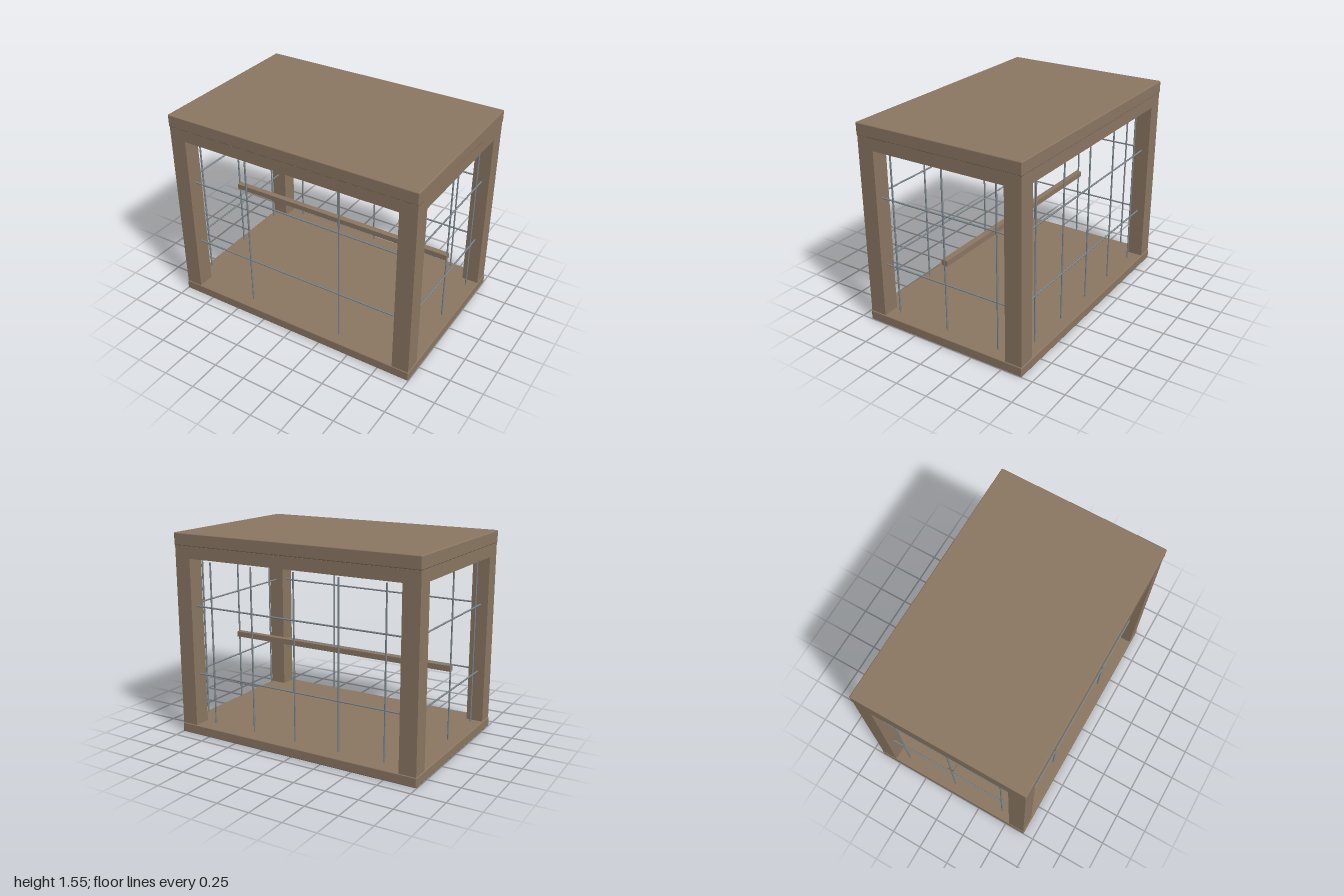
import * as THREE from 'three';
import { RoundedBoxGeometry } from 'three/addons/geometries/RoundedBoxGeometry.js';

const wood = new THREE.MeshStandardMaterial({ color: 0x8b7762 });
const steel = new THREE.MeshStandardMaterial({ color: 0x7b868c });

const HX = 0.995, HZ = 0.66;         // outer half sizes of the frame
const POST = 0.13;                   // post and beam thickness
const FLOOR = 0.075, BEAM = 1.37, ROOF = 1.46, TOP = 1.555;
const BX = 0.935, BZ = 0.597;        // planes of the bars, midway through the posts

export function createModel() {
  const model = new THREE.Group();
  model.name = 'cage';

  const add = (name, geometry, material, x, y, z) => {
    const mesh = new THREE.Mesh(geometry, material);
    mesh.name = name;
    mesh.position.set(x, y, z);
    model.add(mesh);
    return mesh;
  };
  const box = (name, w, h, d, x, y, z) =>
    add(name, new THREE.BoxGeometry(w, h, d), wood, x, y, z);
  const rod = (name, length, axis, x, y, z) => {
    const mesh = add(name, new THREE.CylinderGeometry(0.0065, 0.0065, length, 8), steel, x, y, z);
    if (axis === 'x') mesh.rotation.z = Math.PI / 2;
    if (axis === 'z') mesh.rotation.x = Math.PI / 2;
  };

  // Floor and roof slabs with softened edges
  const slab = (name, y0, y1) =>
    add(name, new RoundedBoxGeometry(2, y1 - y0, 1.33, 2, 0.008), wood, 0, (y0 + y1) / 2, 0);
  slab('floor', 0, FLOOR);
  slab('roof', ROOF, TOP);

  // Corner posts
  for (const sx of [-1, 1])
    for (const sz of [-1, 1])
      box('cornerPost', POST, ROOF - FLOOR, POST,
        sx * (HX - POST / 2), (FLOOR + ROOF) / 2, sz * (HZ - POST / 2));

  // Beams under the roof
  const beamY = (BEAM + ROOF) / 2, beamH = ROOF - BEAM;
  for (const s of [-1, 1]) {
    box('longBeam', 2 * (HX - POST), beamH, POST, 0, beamY, s * (HZ - POST / 2));
    box('sideBeam', POST, beamH, 2 * (HZ - POST), s * (HX - POST / 2), beamY, 0);
  }

  // Horizontal bars on all four sides
  for (const y of [0.475, 1.003])
    for (const s of [-1, 1]) {
      rod('longBar', 1.76, 'x', 0, y, s * BZ);
      rod('sideBar', 1.09, 'z', s * BX, y, 0);
    }

  // Upright bars: two in front, five at the back, three on each side
  const upright = (x, z) => rod('uprightBar', 1.245, 'y', x, 0.7225, z);
  for (const x of [-0.387, 0.387]) upright(x, BZ);
  for (let i = -2; i <= 2; i++) upright(i * 0.3625, -BZ);
  for (const s of [-1, 1])
    for (const z of [-0.433, 0, 0.433]) upright(s * BX, z);

  // Perch across the middle
  box('perch', 1.88, 0.042, 0.046, 0, 0.645, 0);

  return model;
}
